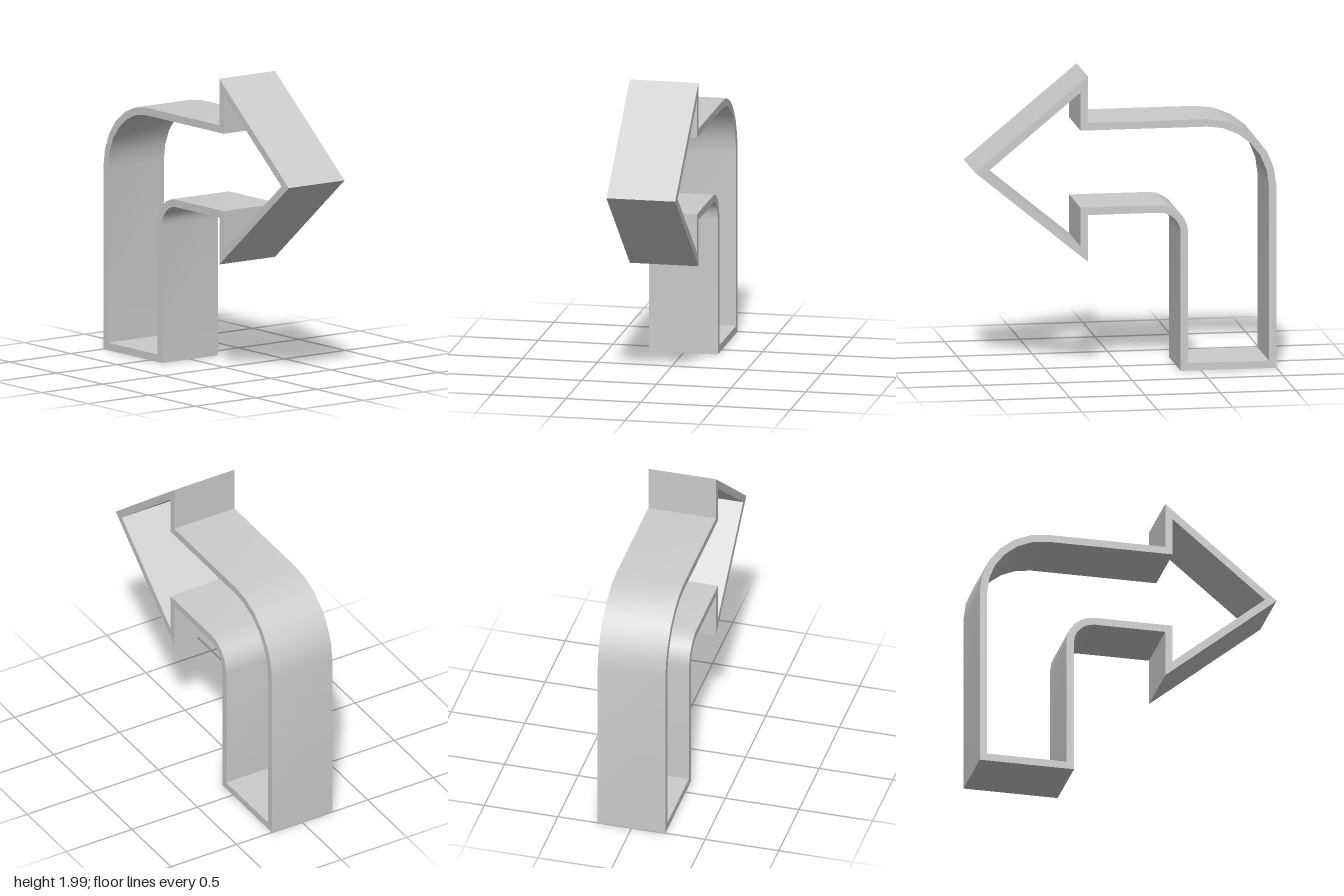
import * as THREE from 'three';
import { toCreasedNormals } from 'three/addons/utils/BufferGeometryUtils.js';

const WALL = 0.05, DEPTH = 0.46;
const AXIS_Y = 1.366, HEAD_X = 0.25, HEAD_HALF = 0.619;

// Bent arrow outline, moved inwards by t
function traceArrow(path, t) {
  const slope = HEAD_HALF / (1 - HEAD_X);
  const tipX = 1 - t * Math.hypot(1, slope) / slope;
  const headX = HEAD_X + t;
  const half = (tipX - headX) * slope;

  // foot and inner bend
  path.moveTo(-1 + t, t);
  path.lineTo(-0.365 - t, t);
  path.lineTo(-0.365 - t, 0.92);
  path.absarc(-0.225, 0.92, 0.14 + t, Math.PI, Math.PI / 2, true);
  // arrowhead
  path.lineTo(headX, 1.06 + t);
  path.lineTo(headX, AXIS_Y - half);
  path.lineTo(tipX, AXIS_Y);
  path.lineTo(headX, AXIS_Y + half);
  path.lineTo(headX, 1.675 - t);
  // outer bend
  path.lineTo(-0.54, 1.675 - t);
  path.absarc(-0.54, 1.215, 0.46 - t, Math.PI / 2, Math.PI, false);
  path.closePath();
  return path;
}

export function createModel() {
  const group = new THREE.Group();
  group.name = 'bentArrow';

  // Thin band following the arrow outline, open at front and back
  const shape = traceArrow(new THREE.Shape(), 0);
  shape.holes.push(traceArrow(new THREE.Path(), WALL));
  const extruded = new THREE.ExtrudeGeometry(shape, {
    depth: DEPTH, bevelEnabled: false, curveSegments: 3,
  });
  extruded.translate(0, 0, -DEPTH / 2);

  const band = new THREE.Mesh(
    toCreasedNormals(extruded, 0.5),
    new THREE.MeshStandardMaterial({ color: 0xcccccc }),
  );
  band.name = 'arrowBand';
  group.add(band);
  return group;
}
